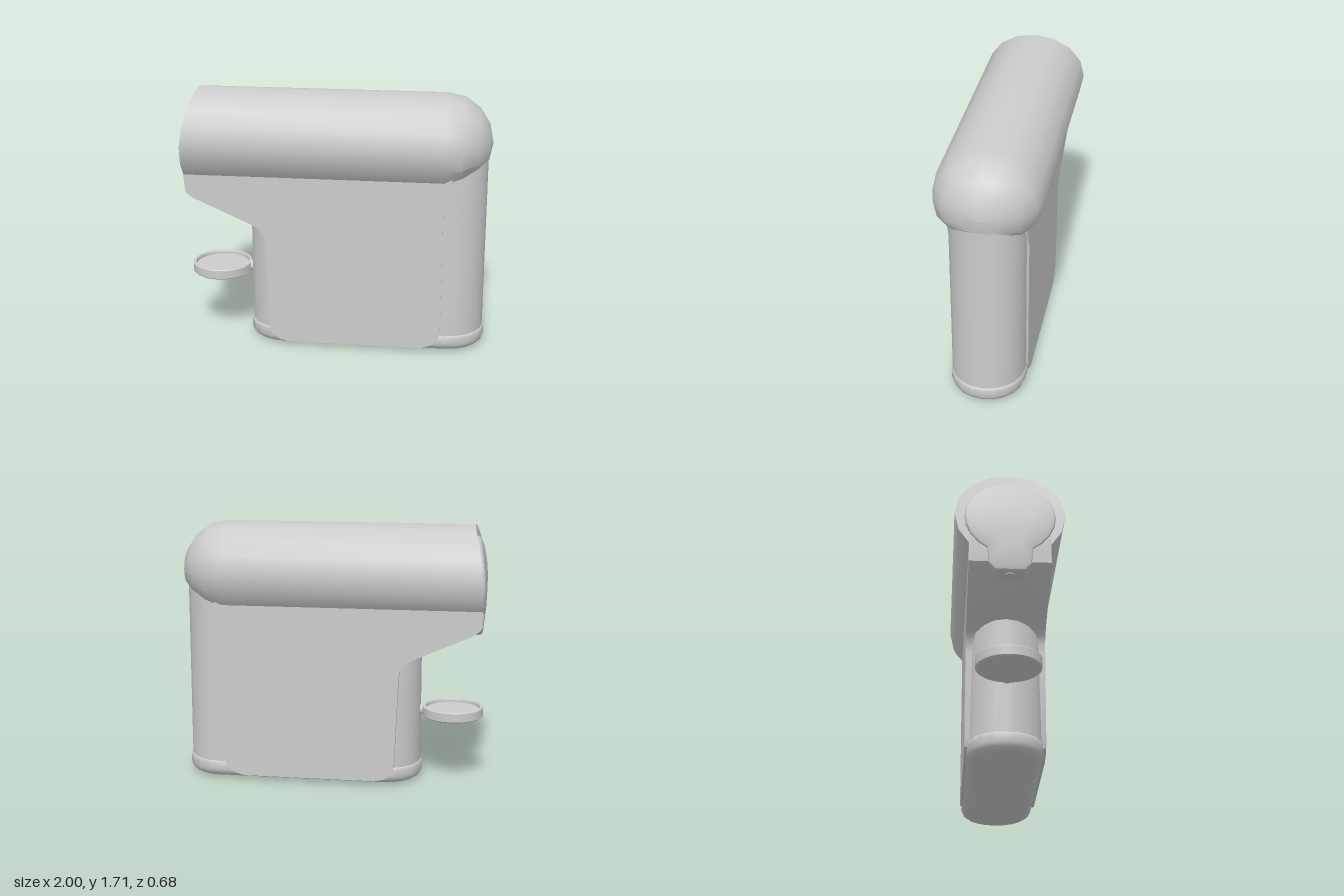
import * as THREE from 'three';
import { toCreasedNormals } from 'three/addons/utils/BufferGeometryUtils.js';

const material = new THREE.MeshStandardMaterial({ color: 0xcccccc, side: THREE.DoubleSide });

// Skin between closed rings of [x, y, z] points, capped at both ends
function loft(rings, crease = 0.6) {
  const n = rings[0].length, pos = rings.flat(2), index = [];
  for (let i = 0; i < rings.length - 1; i++) {
    for (let j = 0; j < n; j++) {
      const a = i * n + j, b = i * n + (j + 1) % n;
      index.push(a, a + n, b, b, a + n, b + n);
    }
  }
  [0, rings.length - 1].forEach((r, end) => {
    const centre = [0, 1, 2].map(k => rings[r].reduce((s, p) => s + p[k], 0) / n);
    const c = pos.length / 3;
    pos.push(...centre);
    for (let j = 0; j < n; j++) {
      const a = r * n + j, b = r * n + (j + 1) % n;
      if (end) index.push(c, b, a); else index.push(c, a, b);
    }
  });
  const g = new THREE.BufferGeometry();
  g.setAttribute('position', new THREE.Float32BufferAttribute(pos, 3));
  g.setIndex(index);
  return toCreasedNormals(g, crease);
}

// Round-ended plan outline of the body at height y
function stadium(halfLength, r, y, steps = 10) {
  const ring = [], c = halfLength - r;
  for (const side of [1, -1]) {
    for (let i = 0; i <= steps; i++) {
      const a = -Math.PI / 2 + Math.PI * i / steps;
      ring.push([0.195 + side * (c + (r * Math.cos(a))), y, side * r * Math.sin(a)]);
    }
  }
  return ring;
}

// Curved line of the nose end, as x for a given height
const noseX = y => -0.985 + (y > 1.3 ? 0.41 : 0.2) * (y - 1.3) ** 2;

export function createModel() {
  const group = new THREE.Group();
  const add = (name, geometry, x = 0, y = 0, z = 0) => {
    const m = new THREE.Mesh(geometry, material);
    m.name = name;
    m.position.set(x, y, z);
    group.add(m);
    return m;
  };

  // Barrel-shaped head: open nose curve at -x, dome at +x trimmed by the column
  const headRing = (s, xOf) => Array.from({ length: 16 }, (_, j) => {
    const a = j * Math.PI / 8;
    const y = 1.39 + 0.315 * s * Math.sin(a);
    return [xOf(y), y, 0.34 * s * Math.cos(a)];
  });
  const headRings = [headRing(1, noseX)];
  for (let i = 0; i <= 4; i++) {
    const a = i * Math.PI / 8, x = 0.7 + 0.3 * Math.sin(a);
    const ring = headRing(Math.max(Math.cos(a), 0.002), () => x);
    if (i) ring.forEach(p => { p[1] = Math.max(p[1], 1.2 + (x - 0.8) * 0.55); });
    headRings.push(ring);
  }
  add('head', loft(headRings));

  // Flat-sided shell hanging below the head
  const outline = [
    [-0.985, 1.3], [-0.982, 1.15], [-0.972, 1.06], [-0.93, 1.025], [-0.56, 0.86],
    [-0.49, 0.82], [-0.46, 0.77], [-0.453, 0.7], [-0.43, 0.13], [-0.415, 0.08],
    [-0.37, 0.045], [-0.3, 0.03], [0.57, 0.03], [0.64, 0.05], [0.685, 0.09],
    [0.7, 0.14], [0.7, 1.05], [0.72, 1.12], [0.75, 1.17], [0.75, 1.3],
  ];
  const shell = new THREE.ExtrudeGeometry(
    new THREE.Shape(outline.map(p => new THREE.Vector2(...p))),
    { depth: 0.5, bevelEnabled: false });
  shell.translate(0, 0, -0.25);
  add('sideShell', toCreasedNormals(shell, 0.6));

  // Round-ended inner column
  add('column', loft([stadium(0.78, 0.235, 0.08), stadium(0.78, 0.235, 1.31)]));

  // Base foot with a rounded lower edge: [height, inset]
  const foot = [[0, 0.075], [0.012, 0.035], [0.03, 0.01], [0.055, 0], [0.11, 0], [0.12, 0.008]];
  add('base', loft(foot.map(([y, d]) => stadium(0.79 - d, 0.24 - d, y)), 0.7));

  // Keyhole-shaped plate on the nose, slightly domed, with a tail that reaches down
  const keyhole = [];
  for (let i = 0; i <= 20; i++) {
    const a = THREE.MathUtils.degToRad(-60 + 15 * i);
    keyhole.push([1.37 + 0.26 * Math.sin(a), 0.28 * Math.cos(a)]);
  }
  keyhole.push([1.04, -0.13], [1.0, -0.09], [1.0, 0.09], [1.04, 0.13]);
  const plate = [[0.01, -0.015], [0.5, -0.015], [0.9, -0.013], [0.97, -0.008], [1, 0.004], [1, 0.11]];
  add('nosePlate', loft(plate.map(([s, dx]) => keyhole.map(([y, z]) => {
    const py = 1.3 + (y - 1.3) * s;
    return [noseX(py) + dx, py, z * s];
  }))));

  // Small outlet under the nose
  add('outlet', new THREE.CylinderGeometry(0.03, 0.03, 0.04, 8), -0.92, 1.015);

  // Round tray with a raised rim
  const rim = [[0, 0.43], [0.19, 0.43], [0.2, 0.438], [0.2, 0.494], [0.194, 0.5],
    [0.182, 0.5], [0.178, 0.494], [0.178, 0.475], [0, 0.475]];
  const tray = new THREE.LatheGeometry(rim.map(p => new THREE.Vector2(...p)), 32);
  add('tray', toCreasedNormals(tray, 0.6), -0.795);

  // Boss that joins the tray to the column
  const boss = new THREE.CylinderGeometry(0.035, 0.035, 0.06, 16);
  boss.rotateZ(Math.PI / 2);
  add('trayBoss', boss, -0.582, 0.468);

  return group;
}
